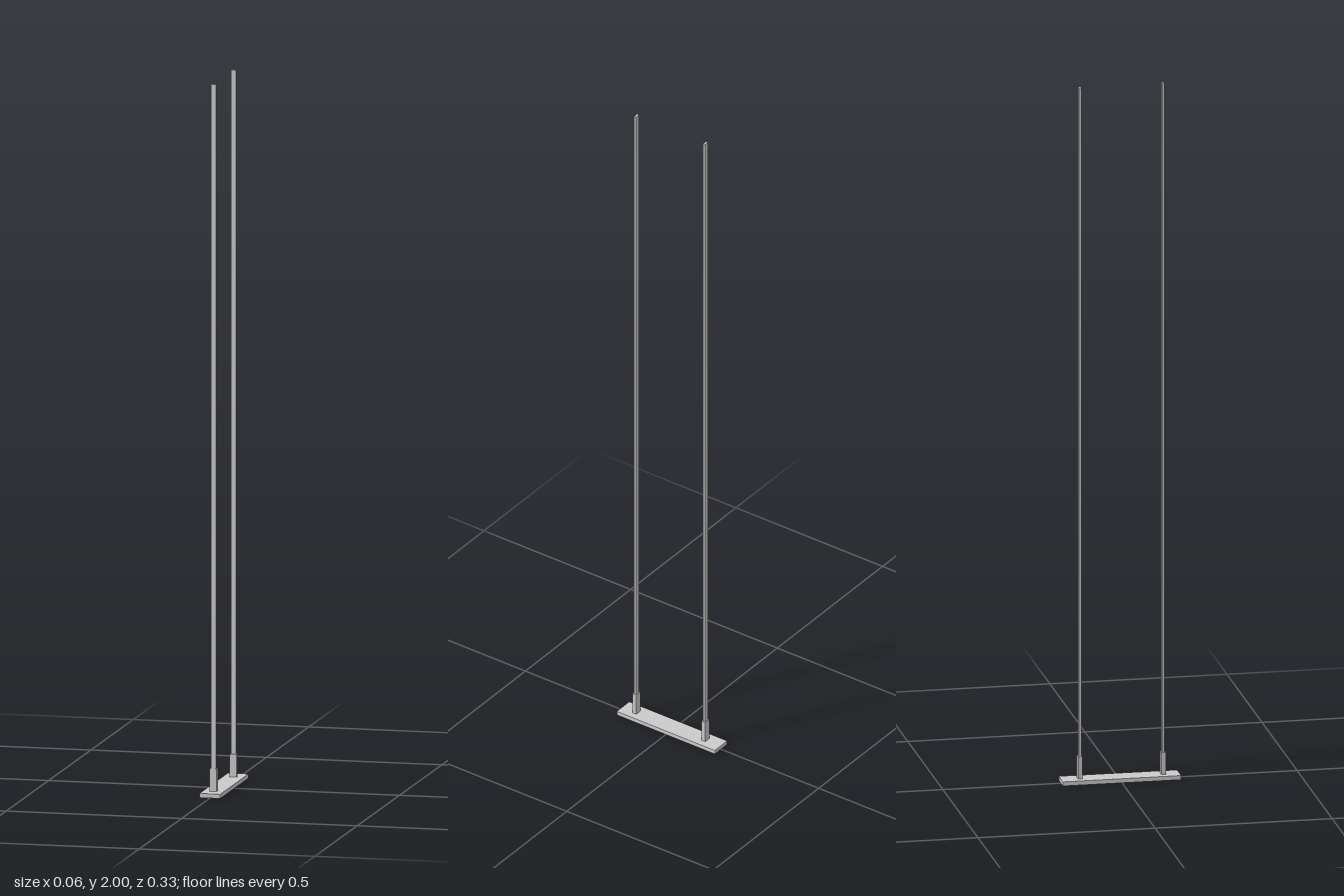
import * as THREE from 'three';

export function createModel() {
  const group = new THREE.Group();
  const material = new THREE.MeshStandardMaterial({ color: 0xcccccc, flatShading: true });

  // Adds a box whose underside sits at the given height
  function addBox(name, width, height, depth, bottom, z) {
    const mesh = new THREE.Mesh(new THREE.BoxGeometry(width, height, depth), material);
    mesh.name = name;
    mesh.position.set(0, bottom + height / 2, z);
    group.add(mesh);
  }

  // Thin rectangular base
  const plateTop = 0.012;
  addBox('basePlate', 0.059, plateTop, 0.334, 0, 0);

  // Two slender uprights, each held in a short socket
  for (const [side, z] of [['front', 0.121], ['back', -0.114]]) {
    addBox(side + 'Socket', 0.02, 0.064, 0.0125, plateTop, z);
    addBox(side + 'Post', 0.0145, 2 - plateTop, 0.007, plateTop, z);
  }

  return group;
}
